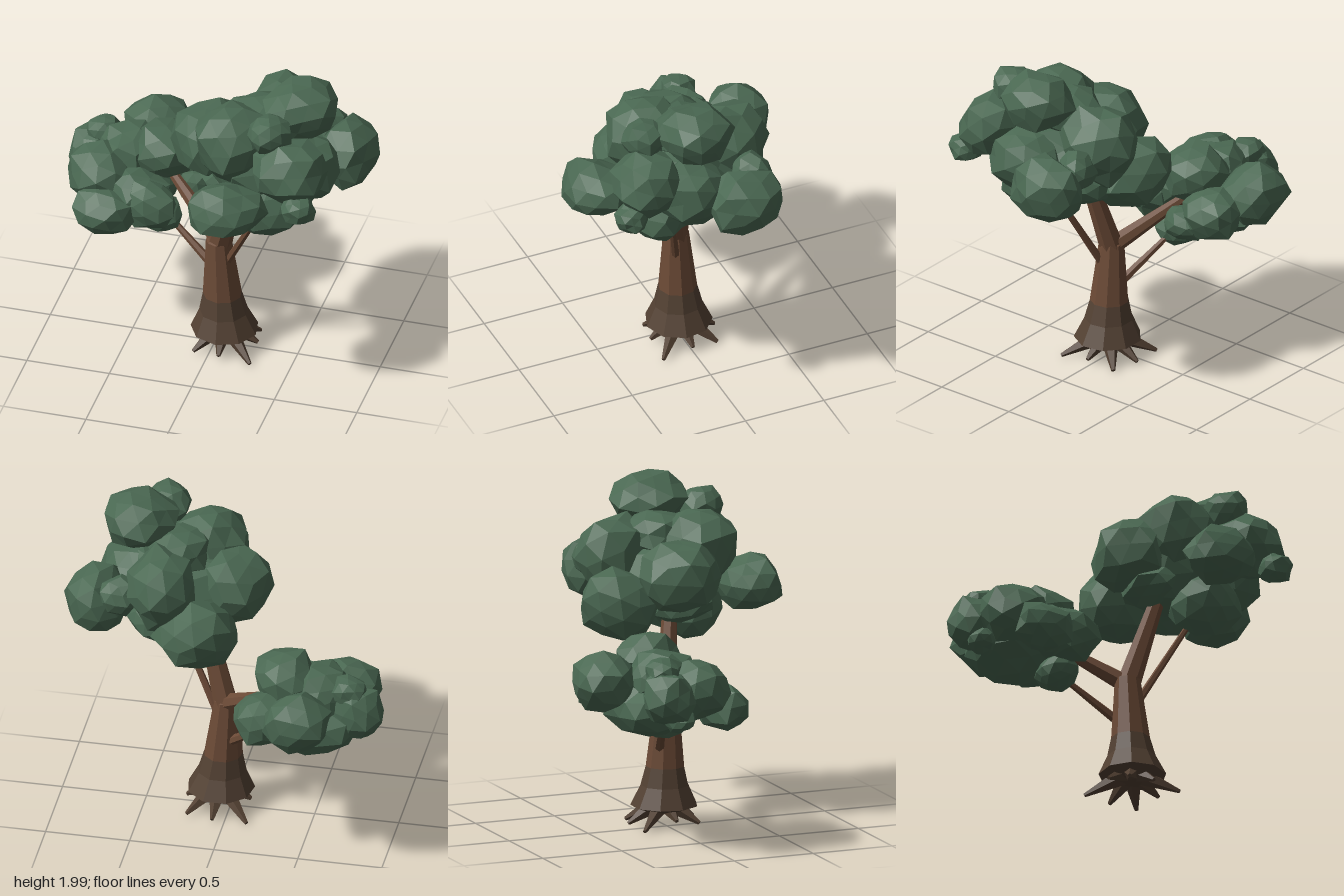
import * as THREE from 'three';

const paint = (color) => new THREE.MeshStandardMaterial({ color, flatShading: true });
const leaf = paint(0x4a6852);
const bark = paint(0x6b4a36);
const darkBark = paint(0x524032);

// Repeatable value in 0..1 for a vertex position, so shared corners stay joined
function hash(x, y, z, seed) {
  const r = (v) => Math.round(v * 100);
  const s = Math.sin(r(x) * 12.9898 + r(y) * 78.233 + r(z) * 37.719 + seed * 4.57) * 43758.5453;
  return s - Math.floor(s);
}

// Faceted leaf clump filling the box centre +- half size
function clump(name, [cx, cy, cz], [hx, hy, hz], seed) {
  const geo = new THREE.IcosahedronGeometry(1, 1);
  geo.rotateX(seed * 1.7);
  geo.rotateY(seed * 2.3);
  const p = geo.attributes.position;
  const v = new THREE.Vector3();
  for (let i = 0; i < p.count; i++) {
    v.fromBufferAttribute(p, i);
    v.multiplyScalar(0.86 + 0.24 * hash(v.x, v.y, v.z, seed));
    p.setXYZ(i, v.x, v.y, v.z);
  }
  geo.center();
  geo.computeBoundingBox();
  const b = geo.boundingBox.max;
  geo.scale(hx / b.x, hy / b.y, hz / b.z);
  geo.computeVertexNormals();
  const mesh = new THREE.Mesh(geo, leaf);
  mesh.name = name;
  mesh.position.set(cx, cy, cz);
  return mesh;
}

// Tapered limb between two points
function limb(name, from, to, r0, r1, sides, material) {
  const a = new THREE.Vector3(...from);
  const d = new THREE.Vector3(...to).sub(a);
  const geo = new THREE.CylinderGeometry(r1, r0, d.length(), sides);
  geo.translate(0, d.length() / 2, 0);
  const mesh = new THREE.Mesh(geo, material);
  mesh.name = name;
  mesh.position.copy(a);
  mesh.quaternion.setFromUnitVectors(new THREE.Vector3(0, 1, 0), d.normalize());
  return mesh;
}

// Turned trunk section that leans with height
function trunkPart(name, profile, material) {
  const geo = new THREE.LatheGeometry(profile.map(([r, y]) => new THREE.Vector2(r, y)), 9);
  const p = geo.attributes.position;
  for (let i = 0; i < p.count; i++) {
    p.setX(i, p.getX(i) + 0.068 - 0.06 * p.getY(i));
    p.setZ(i, p.getZ(i) + 0.01);
  }
  const mesh = new THREE.Mesh(geo, material);
  mesh.name = name;
  return mesh;
}

export function createModel() {
  const tree = new THREE.Group();
  tree.name = 'tree';

  // Trunk and flared foot
  tree.add(trunkPart('trunk', [[0.115, 0.36], [0.097, 0.53], [0.076, 0.73], [0, 0.76]], bark));
  tree.add(trunkPart('trunkFoot',
    [[0, 0.07], [0.1, 0.09], [0.2, 0.125], [0.143, 0.245], [0.115, 0.36]], darkBark));

  // Spiked roots: angle, reach, tip height
  const roots = new THREE.Group();
  roots.name = 'roots';
  const spikes = [[0, 0.2, 0.05], [0.75, 0.28, 0.02], [1.5, 0.19, 0.04], [2.3, 0.22, 0.03],
    [3.1, 0.18, 0.06], [3.95, 0.28, 0.02], [4.75, 0.22, 0.03], [5.5, 0.24, 0.02]];
  spikes.forEach(([a, reach, y]) => {
    const at = (r, h) => [0.06 + r * Math.cos(a), h, 0.005 + r * Math.sin(a)];
    roots.add(limb('root', at(0.05, 0.13), at(reach, y), 0.055, 0.012, 5, darkBark));
  });
  tree.add(roots);

  // Branches
  tree.add(limb('mainBranch', [0.025, 0.69, 0.005], [0.22, 1.42, 0.12], 0.073, 0.036, 7, bark));
  tree.add(limb('sideBranch', [0.03, 0.71, 0], [-0.34, 0.97, -0.26], 0.056, 0.028, 7, bark));
  tree.add(limb('thinBranch', [0.07, 0.58, 0.03], [0.36, 1.15, 0.19], 0.024, 0.016, 6, bark));
  tree.add(limb('lowBranch', [0.01, 0.47, -0.04], [-0.36, 0.74, -0.18], 0.03, 0.015, 6, bark));

  // Tall crown: centre, half size
  const tall = [
    [[0.17, 1.33, -0.24], [0.25, 0.22, 0.24]],
    [[0.38, 1.56, -0.16], [0.21, 0.25, 0.26]],
    [[0.78, 1.42, -0.1], [0.19, 0.19, 0.225]],
    [[0.56, 1.83, 0.13], [0.22, 0.17, 0.235]],
    [[-0.03, 1.49, 0.08], [0.205, 0.21, 0.25]],
    [[0.18, 1.61, 0.28], [0.225, 0.23, 0.24]],
    [[0.57, 1.58, 0.44], [0.22, 0.2, 0.2]],
    [[0.25, 1.38, 0.61], [0.24, 0.165, 0.19]],
    [[0.67, 1.43, 0.58], [0.1, 0.09, 0.1]],
    [[0.39, 1.22, 0.27], [0.22, 0.19, 0.2]],
    [[0.41, 1.32, -0.08], [0.19, 0.15, 0.2]],
    [[0.45, 1.79, 0.4], [0.13, 0.12, 0.14]],
    [[0.62, 1.5, -0.2], [0.12, 0.13, 0.12]],
    [[0.3, 1.43, 0.1], [0.34, 0.25, 0.36]],
    [[0.62, 1.46, 0.17], [0.19, 0.2, 0.24]],
    [[0.12, 1.31, 0.13], [0.17, 0.12, 0.2]],
    [[0.34, 1.68, 0.08], [0.2, 0.14, 0.2]],
  ];
  // Low crown
  const low = [
    [[-0.52, 1.05, -0.61], [0.2, 0.18, 0.19]],
    [[-0.27, 0.94, -0.48], [0.16, 0.16, 0.19]],
    [[-0.82, 0.98, -0.35], [0.155, 0.17, 0.15]],
    [[-0.77, 1.11, -0.36], [0.11, 0.09, 0.1]],
    [[-0.4, 1.1, -0.29], [0.195, 0.18, 0.19]],
    [[-0.72, 0.99, -0.12], [0.205, 0.18, 0.2]],
    [[-0.64, 0.85, 0.07], [0.19, 0.14, 0.155]],
    [[-0.39, 0.9, 0.01], [0.16, 0.15, 0.14]],
    [[-0.37, 0.735, -0.16], [0.12, 0.105, 0.14]],
    [[-0.57, 0.88, -0.32], [0.27, 0.19, 0.28]],
    [[-0.22, 0.86, -0.34], [0.11, 0.1, 0.13]],
    [[-0.83, 0.84, -0.28], [0.1, 0.08, 0.1]],
    [[-0.6, 1.06, -0.3], [0.19, 0.15, 0.2]],
    [[-0.5, 0.92, -0.06], [0.2, 0.15, 0.18]],
  ];
  [['tallCrown', tall], ['lowCrown', low]].forEach(([name, list], k) => {
    const crown = new THREE.Group();
    crown.name = name;
    list.forEach(([c, h], i) => crown.add(clump('leafClump', c, h, i + 1 + k * 20)));
    tree.add(crown);
  });

  return tree;
}
